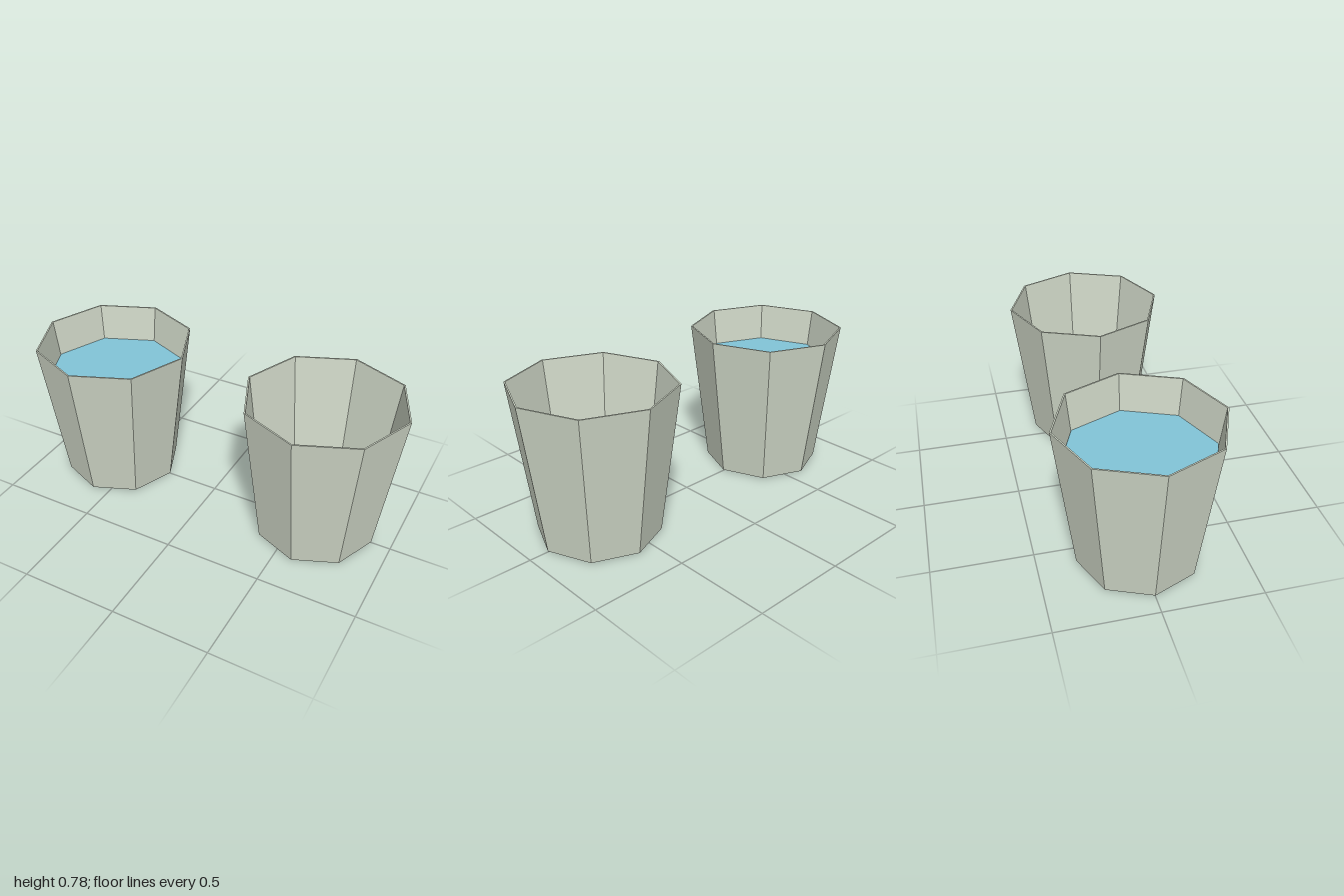
import * as THREE from 'three';

const SIDES = 8;

export function createModel() {
  const model = new THREE.Group();
  model.name = 'cups';
  const cupMaterial = new THREE.MeshStandardMaterial({ color: 0xced6c6, flatShading: true });
  const waterMaterial = new THREE.MeshStandardMaterial({ color: 0x82c4d8, flatShading: true, side: THREE.DoubleSide });

  // Thin-walled tapered tumbler: base, outer wall, rim, inner wall, floor
  const profile = [
    [0, 0], [0.308, 0.004], [0.408, 0.778],
    [0.4, 0.778], [0.301, 0.012], [0, 0.012],
  ].map(([r, y]) => new THREE.Vector2(r, y));
  const cupGeometry = new THREE.LatheGeometry(profile, SIDES);

  const addCup = (name, x) => {
    const group = new THREE.Group();
    group.name = name;
    group.position.x = x;
    const cup = new THREE.Mesh(cupGeometry, cupMaterial);
    cup.name = name + 'Body';
    group.add(cup);
    model.add(group);
    return group;
  };

  addCup('emptyCup', 0.592);
  const fullCup = addCup('fullCup', -0.592);

  // Water surface reaching the inner wall
  const water = new THREE.Mesh(new THREE.CircleGeometry(0.373, SIDES), waterMaterial);
  water.name = 'water';
  water.rotation.x = -Math.PI / 2;
  water.position.y = 0.585;
  fullCup.add(water);

  return model;
}
